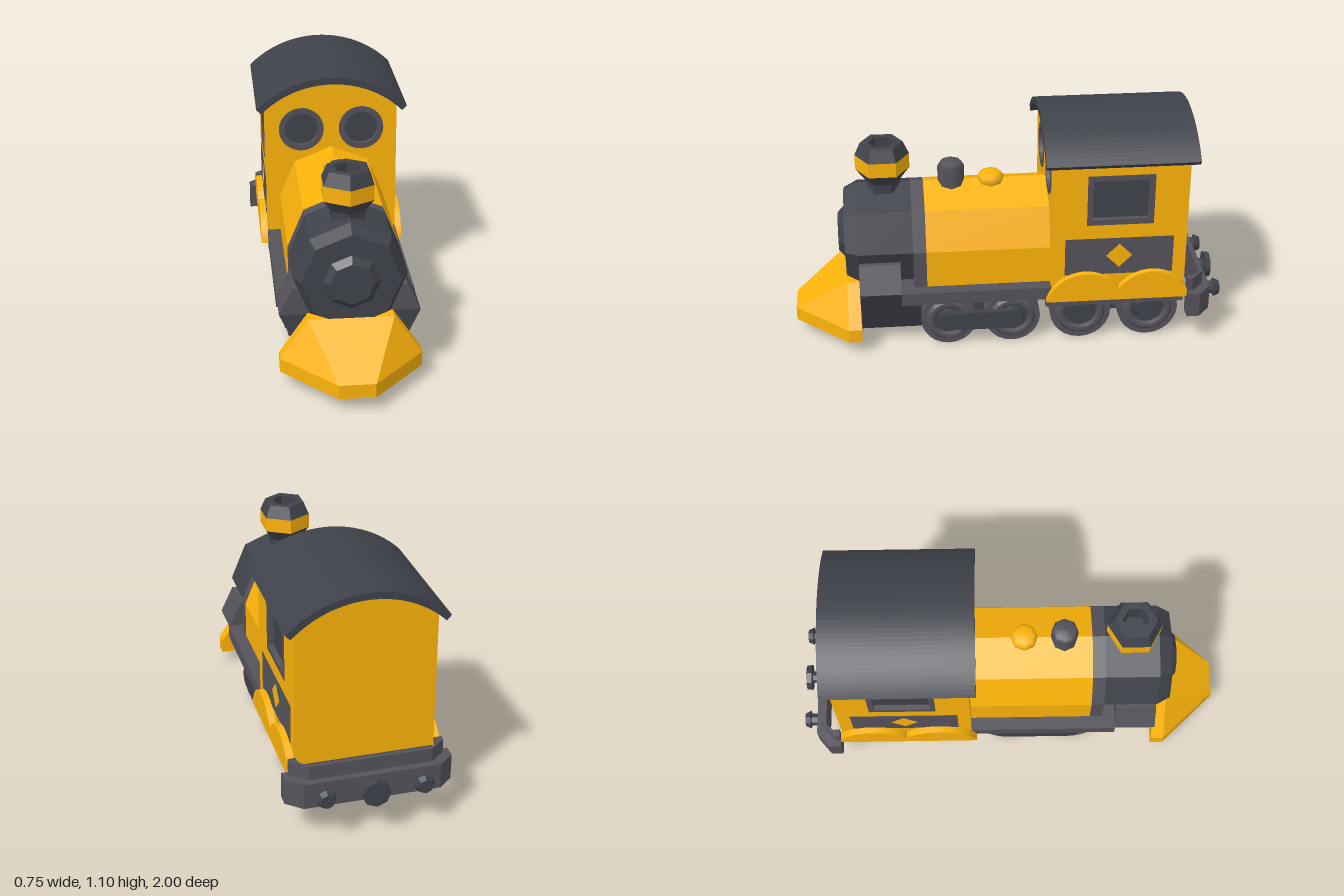
import * as THREE from 'three';
import { ConvexGeometry } from 'three/addons/geometries/ConvexGeometry.js';

const mat = (color, flatShading = true) => new THREE.MeshStandardMaterial({ color, flatShading });
const yellow = mat(0xfcb30a), dark = mat(0x3f424a), grey = mat(0x55535a);
const smoothYellow = mat(0xfcb30a, false), smoothGrey = mat(0x55535a, false);
const V2 = (p) => p.map(([x, y]) => new THREE.Vector2(x, y));
const polygon = (p) => new THREE.Shape(V2(p));
const rect = (x0, x1, y0, y1) => [[x0, y0], [x1, y0], [x1, y1], [x0, y1]];

export function createModel() {
  const model = new THREE.Group();
  const add = (name, geometry, material) => {
    const m = new THREE.Mesh(geometry, material);
    m.name = name;
    model.add(m);
  };
  const box = (name, x0, x1, y0, y1, z0, z1, material) =>
    add(name, new THREE.BoxGeometry(x1 - x0, y1 - y0, z1 - z0)
      .translate((x0 + x1) / 2, (y0 + y1) / 2, (z0 + z1) / 2), material);
  const extrude = (shape, depth) =>
    new THREE.ExtrudeGeometry(shape, { depth, bevelEnabled: false, curveSegments: 20 });
  // profile in the front plane, running from z0 to z1
  const alongZ = (name, shape, z0, z1, material) =>
    add(name, extrude(shape, z1 - z0).translate(0, 0, z0), material);
  // profile in (-z, y), repeated on both sides between x0 and x1
  const onSides = (name, shape, x0, x1, material) => {
    for (const s of [1, -1]) {
      add((s > 0 ? 'left ' : 'right ') + name, extrude(shape, x1 - x0)
        .rotateY(Math.PI / 2).translate(s > 0 ? x0 : -x1, 0, 0), material);
    }
  };
  const lathe = (profile, sides) => new THREE.LatheGeometry(V2(profile), sides);

  // boiler: half-octagon top on upright sides
  const boiler = polygon([[-0.25, 0.26], [0.25, 0.26], [0.25, 0.49], [0.177, 0.667],
    [0, 0.74], [-0.177, 0.667], [-0.25, 0.49]]);
  alongZ('boiler', boiler, -0.2, 0.38, yellow);
  alongZ('boiler band', boiler, 0.38, 0.44, grey);

  // octagonal smokebox pointing forward, profile is [radius, z]
  const barrel = (name, profile) =>
    add(name, lathe(profile, 8).rotateX(Math.PI / 2).translate(0, 0.49, 0), dark);
  barrel('smokebox', [[0.25, 0.43], [0.25, 0.69], [0.217, 0.75], [0, 0.75]]);
  barrel('smokebox door', [[0.125, 0.74], [0.125, 0.755], [0.095, 0.782], [0, 0.782]]);

  // front block, shoulders and cowcatcher
  alongZ('front block', polygon([[-0.2, 0.07], [0.2, 0.07], [0.31, 0.31], [-0.31, 0.31]]), 0.41, 0.69, dark);
  alongZ('front shoulders', polygon([[-0.31, 0.31], [0.31, 0.31], [0.25, 0.435], [-0.25, 0.435]]), 0.5, 0.69, grey);
  const hull = [];
  for (const s of [1, -1]) {
    for (const z of [0.69, 0.75]) {
      for (const [x, y] of [[0.312, 0.065], [0.312, 0.13], [0.187, 0.314]]) hull.push(new THREE.Vector3(s * x, y, z));
    }
    for (const y of [0.065, 0.13]) hull.push(new THREE.Vector3(s * 0.08, y, 1));
  }
  add('cowcatcher', new ConvexGeometry(hull), yellow);

  // chimney and domes
  const stack = (name, profile, sides, z, material) =>
    add(name, lathe(profile, sides).translate(0, 0, z), material);
  stack('chimney stem', [[0.083, 0.66], [0.083, 0.755], [0.125, 0.81]], 6, 0.565, dark);
  stack('chimney band', [[0.125, 0.81], [0.125, 0.88]], 6, 0.565, yellow);
  stack('chimney crown', [[0.125, 0.88], [0.098, 0.94], [0.06, 0.94], [0.06, 0.84], [0, 0.84]], 6, 0.565, dark);
  stack('steam dome', [[0.062, 0.68], [0.062, 0.81], [0.05, 0.83], [0, 0.836]], 8, 0.25, smoothGrey);
  stack('sand dome', [[0.045, 0.7], [0.062, 0.73], [0.06, 0.757], [0.042, 0.772], [0, 0.776]], 8, 0.065, smoothYellow);

  // footplate and chassis
  box('footplate', -0.312, 0.312, 0.25, 0.312, -0.81, 0.5, grey);
  box('front chassis', -0.16, 0.16, 0.09, 0.25, -0.13, 0.5, dark);
  box('rear chassis', -0.16, 0.16, 0.09, 0.25, -0.79, -0.22, dark);
  onSides('valance', polygon(rect(0.165, 0.81, 0.21, 0.25)), 0.28, 0.31, grey);

  // cab: core, end walls and side walls, with recessed windows
  const roofY = 0.59, roofR = 0.474;
  const cabProfile = (w) => {
    const half = Math.asin(w / roofR);
    const shape = new THREE.Shape();
    shape.moveTo(-w, 0.3);
    shape.lineTo(w, 0.3);
    shape.absarc(0, roofY, roofR, Math.PI / 2 - half, Math.PI / 2 + half, false);
    return shape;
  };
  alongZ('cab core', cabProfile(0.283), -0.79, -0.215, yellow);
  alongZ('cab back wall', cabProfile(0.313), -0.81, -0.78, yellow);
  const frontWall = cabProfile(0.313);
  for (const s of [1, -1]) {
    const disc = (Type, r) => new Type().absarc(s * 0.143, 0.831, r, 0, Math.PI * 2, false);
    frontWall.holes.push(disc(THREE.Path, 0.106));
    const ring = disc(THREE.Shape, 0.107);
    ring.holes.push(disc(THREE.Path, 0.08));
    alongZ('round window frame', ring, -0.22, -0.187, grey);
    alongZ('round window pane', disc(THREE.Shape, 0.09), -0.22, -0.208, dark);
  }
  alongZ('cab front wall', frontWall, -0.22, -0.19, yellow);
  const wall = polygon(rect(0.22, 0.78, 0.3, 0.946));
  wall.holes.push(new THREE.Path(V2(rect(0.35, 0.65, 0.632, 0.873))));
  onSides('cab side wall', wall, 0.283, 0.313, yellow);
  const frame = polygon(rect(0.347, 0.653, 0.629, 0.876));
  frame.holes.push(new THREE.Path(V2(rect(0.372, 0.628, 0.656, 0.85))));
  onSides('window frame', frame, 0.283, 0.315, grey);
  onSides('window pane', polygon(rect(0.36, 0.64, 0.64, 0.865)), 0.28, 0.29, dark);
  onSides('cab panel', polygon(rect(0.25, 0.75, 0.375, 0.56)), 0.31, 0.315, grey);
  onSides('diamond', polygon([[0.44, 0.47], [0.5, 0.41], [0.56, 0.47], [0.5, 0.53]]), 0.31, 0.317, yellow);

  // arched roof
  const roof = new THREE.Shape();
  roof.absarc(0, roofY, 0.505, Math.PI / 4, Math.PI * 3 / 4, false);
  roof.absarc(0, roofY, 0.473, Math.PI * 3 / 4, Math.PI / 4, true);
  alongZ('roof', roof, -0.845, -0.155, dark);

  // double wheel arches
  const arch = new THREE.Shape();
  const a = Math.atan2(0.045, 0.18), b = Math.acos(0.155 / 0.185);
  arch.moveTo(0.835, 0.25);
  arch.absarc(0.655, 0.207, 0.185, a, Math.PI - b, false);
  arch.absarc(0.345, 0.207, 0.185, b, Math.PI - a, false);
  onSides('wheel arches', arch, 0.31, 0.345, yellow);

  // wheels: tyre with raised ring, recess and hub
  for (const [z, r] of [[0.283, 0.13], [-0.016, 0.13], [-0.337, 0.143], [-0.658, 0.143]]) {
    for (const s of [1, -1]) {
      const tyre = lathe([[0, 0], [r, 0], [r, 0.095], [r * 0.82, 0.095], [r * 0.72, 0.11], [r * 0.6, 0.11], [r * 0.55, 0.09]], 24);
      const hub = lathe([[r * 0.55, 0.09], [r * 0.42, 0.09], [r * 0.38, 0.11], [0, 0.11]], 24);
      for (const [name, g, m] of [['wheel', tyre, grey], ['wheel hub', hub, dark]]) {
        add(name, g.rotateZ(-s * Math.PI / 2).translate(s * 0.155, r, z), m);
      }
    }
  }
  const rod = new THREE.Shape();
  rod.absarc(0.016, 0.13, 0.045, -Math.PI / 2, Math.PI / 2, false);
  rod.absarc(-0.283, 0.13, 0.045, Math.PI / 2, Math.PI * 1.5, false);
  onSides('coupling rod', rod, 0.25, 0.28, dark);

  // rear bumper: two stacked chamfered U-shaped bars
  const bumper = (name, x, zBack, y0, y1) => {
    const u = polygon([[x, 0.82], [x, zBack - 0.06], [x - 0.07, zBack], [0.07 - x, zBack], [-x, zBack - 0.06],
      [-x, 0.82], [-0.31, 0.82], [-0.31, 0.85], [-0.285, 0.885], [0.285, 0.885], [0.31, 0.85], [0.31, 0.82]]);
    add(name, extrude(u, y1 - y0).rotateX(-Math.PI / 2).translate(0, y0, 0), grey);
  };
  bumper('bumper', 0.375, 0.937, 0.16, 0.28);
  bumper('bumper lip', 0.345, 0.905, 0.28, 0.345);

  // buffers and coupler, profile is [radius, distance back]
  const knob = (name, x, profile) =>
    add(name, lathe(profile, 8).rotateX(-Math.PI / 2).translate(x, 0.22, 0), dark);
  for (const x of [-0.218, 0.218]) {
    knob('buffer', x, [[0.03, 0.93], [0.03, 0.97], [0.045, 0.975], [0.033, 1], [0, 1]]);
  }
  knob('coupler', 0, [[0.03, 0.93], [0.03, 0.972], [0.065, 0.974], [0.062, 1], [0, 1]]);

  return model;
}
